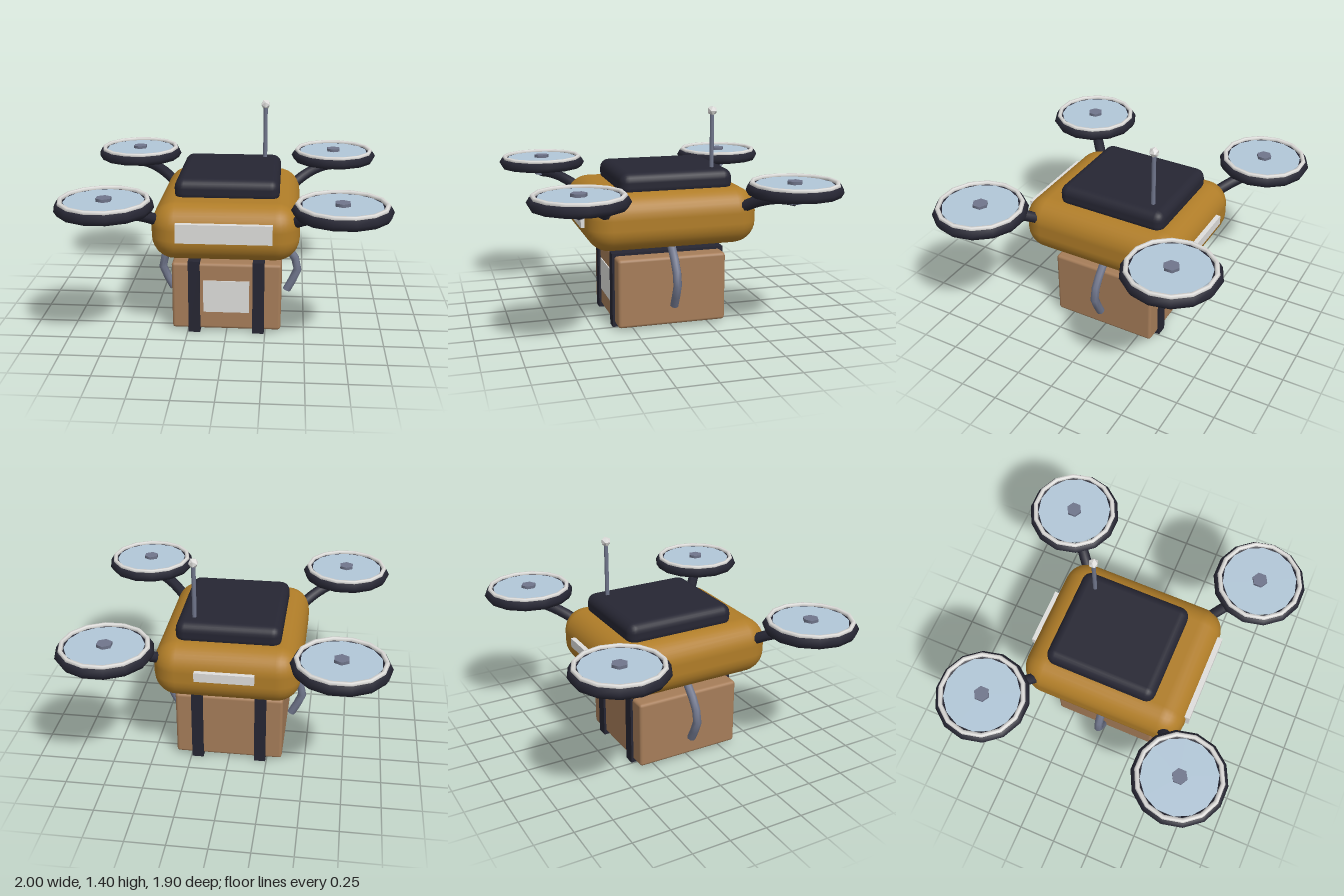
import * as THREE from 'three';
import { toCreasedNormals } from 'three/addons/utils/BufferGeometryUtils.js';
import { RoundedBoxGeometry } from 'three/addons/geometries/RoundedBoxGeometry.js';

function paint(name, color, side = THREE.FrontSide) {
  const m = new THREE.MeshStandardMaterial({ color, side });
  m.name = name;
  return m;
}

export function createModel() {
  const gold = paint('gold shell', 0xb07d28);
  const dark = paint('dark navy', 0x262633);
  const slate = paint('slate metal', 0x70768c);
  const pale = paint('pale grey', 0xdedddb);
  const glass = paint('light blue disc', 0xb2c7d8);
  const card = paint('cardboard', 0xa67d59);

  const model = new THREE.Group();
  model.name = 'deliveryDrone';

  function add(name, geometry, material, x = 0, y = 0, z = 0, parent = model) {
    const mesh = new THREE.Mesh(geometry, material);
    mesh.name = name;
    mesh.position.set(x, y, z);
    parent.add(mesh);
    return mesh;
  }

  // Tube along a curve with both ends capped
  function cappedTube(curve, steps, radius, sides) {
    const g = new THREE.TubeGeometry(curve, steps, radius, sides);
    const index = Array.from(g.index.array);
    const last = steps * (sides + 1);
    for (let i = 1; i < sides - 1; i++) {
      index.push(0, i, i + 1, last, last + i + 1, last + i);
    }
    g.setIndex(index);
    return toCreasedNormals(g, 1.1);
  }

  const v = (x, y, z) => new THREE.Vector3(x, y, z);

  // Body shell and top hatch
  add('bodyShell', new RoundedBoxGeometry(0.92, 0.365, 1.105, 4, 0.15), gold, 0, 0.715, 0);
  add('topHatch', new RoundedBoxGeometry(0.66, 0.15, 0.735, 3, 0.06), dark, 0, 0.935, -0.04);

  // Light bars at the front and back
  add('frontPanel', new THREE.BoxGeometry(0.59, 0.12, 0.06), pale, 0, 0.742, 0.546);
  add('rearPanel', new THREE.BoxGeometry(0.37, 0.06, 0.06), pale, 0, 0.742, -0.55);

  // Antenna
  add('antennaMast', new THREE.CylinderGeometry(0.014, 0.014, 0.38, 8), slate, 0.22, 1.175, -0.295);
  const tip = new THREE.IcosahedronGeometry(0.033, 0);
  add('antennaTip', tip, pale, 0.22, 1.372, -0.295);

  // Rotors, one on a curved arm at each corner
  const ductGeo = new THREE.TorusGeometry(0.263, 0.036, 6, 14).rotateX(Math.PI / 2);
  const rimGeo = new THREE.TorusGeometry(0.262, 0.015, 6, 14).rotateX(Math.PI / 2);
  const discGeo = new THREE.CylinderGeometry(0.24, 0.24, 0.01, 14);
  const hubGeo = new THREE.CylinderGeometry(0.05, 0.05, 0.14, 6);
  const bladeGeo = new THREE.BoxGeometry(0.5, 0.02, 0.04);
  for (const sx of [-1, 1]) {
    for (const sz of [-1, 1]) {
      const rotor = new THREE.Group();
      rotor.name = (sz > 0 ? 'front' : 'rear') + (sx > 0 ? 'Left' : 'Right') + 'Rotor';
      rotor.position.set(sx * 0.7, 0, sz * 0.66);
      model.add(rotor);
      add('duct', ductGeo, dark, 0, 0.937, 0, rotor);
      add('ductRim', rimGeo, pale, 0, 0.974, 0, rotor);
      add('rotorDisc', discGeo, glass, 0, 0.966, 0, rotor);
      add('motorHub', hubGeo, slate, 0, 0.92, 0, rotor);
      add('crossStrut', bladeGeo, dark, 0, 0.945, 0, rotor);
      add('crossStrut', bladeGeo, dark, 0, 0.945, 0, rotor).rotation.y = Math.PI / 2;

      const path = new THREE.QuadraticBezierCurve3(
        v(sx * 0.41, 0.775, sz * 0.43), v(sx * 0.55, 0.885, sz * 0.56), v(sx * 0.705, 0.868, sz * 0.665));
      add('rotorArm', cappedTube(path, 8, 0.036, 8), dark);
    }

    // Gripper claw beside the parcel
    const claw = new THREE.CatmullRomCurve3([
      v(sx * 0.27, 0.575, 0), v(sx * 0.4, 0.445, 0), v(sx * 0.457, 0.33, 0), v(sx * 0.385, 0.16, 0)]);
    add('gripperClaw', cappedTube(claw, 6, 0.028, 8), slate);
  }

  // Parcel with two straps and a label
  add('parcel', new RoundedBoxGeometry(0.7, 0.45, 0.71, 2, 0.02), card, 0, 0.245, 0);
  for (const sx of [-1, 1]) {
    add('parcelStrap', new THREE.BoxGeometry(0.075, 0.487, 0.74), dark, sx * 0.206, 0.2435, 0);
  }
  add('parcelLabel', new THREE.BoxGeometry(0.295, 0.215, 0.009), pale, 0, 0.248, 0.357);

  return model;
}
